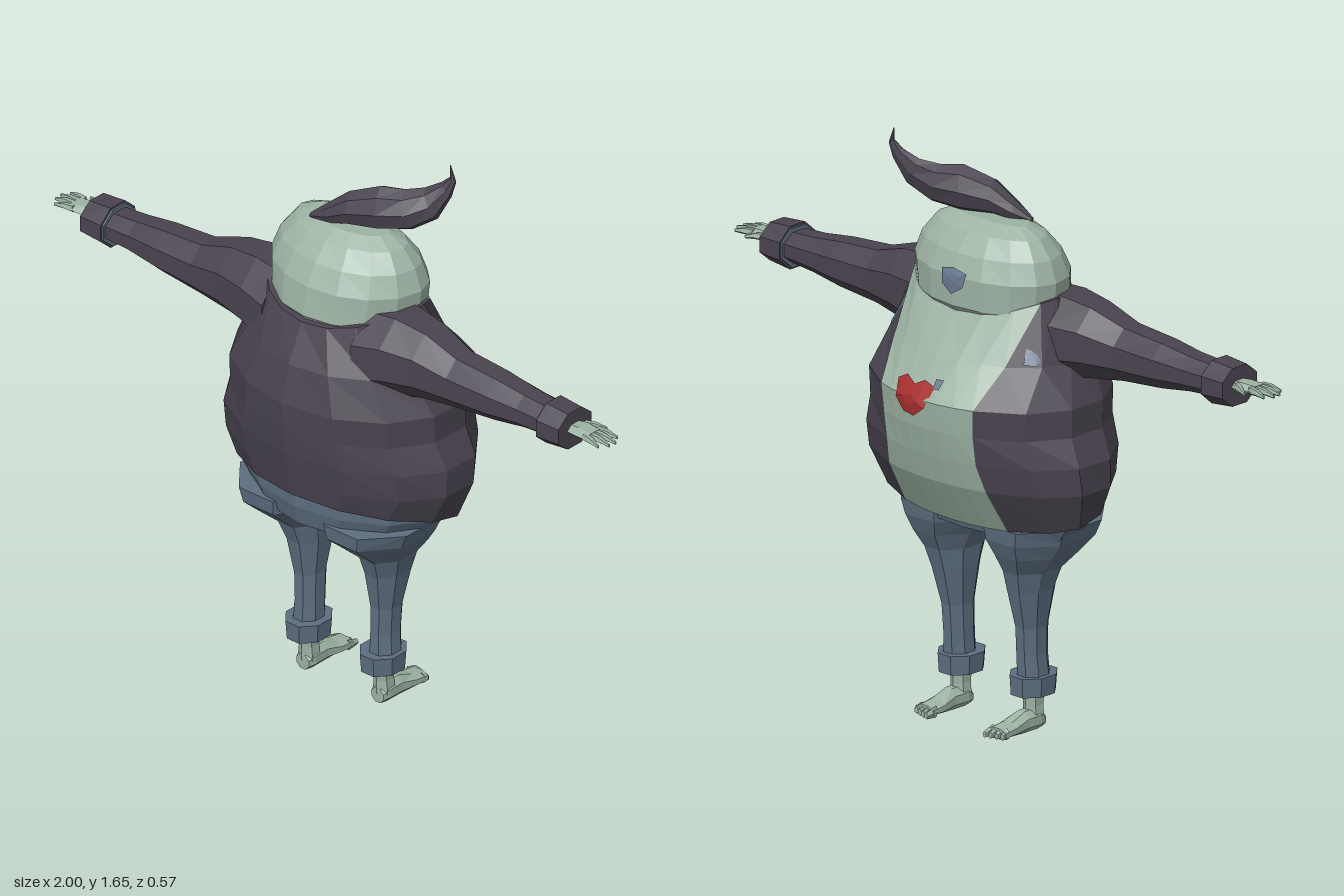
import * as THREE from 'three';

const flat = (name, color) => Object.assign(new THREE.MeshStandardMaterial({ color, flatShading: true }), { name });

// Skin stretched over closed rings of points, capped at both ends.
// slot(column) picks the material group of each column; winding is fixed to face outward.
function loft(rings, slot = () => 0) {
  const n = rings[0].length, pts = rings.flat(), faces = [[], []];
  for (let r = 0; r < rings.length - 1; r++) for (let i = 0; i < n; i++) {
    const a = r * n + i, b = r * n + (i + 1) % n;
    faces[slot(i)].push(a, b, b + n, a, b + n, a + n);
  }
  [0, rings.length - 1].forEach((r, end) => {
    const c = rings[r].reduce((s, p) => s.add(p), new THREE.Vector3()).divideScalar(n);
    const k = pts.push(c) - 1;
    for (let i = 0; i < n; i++) {
      const a = r * n + i, b = r * n + (i + 1) % n;
      faces[slot(i)].push(...(end ? [a, b, k] : [b, a, k]));
    }
  });
  const all = faces.flat();
  let volume = 0;
  for (let i = 0; i < all.length; i += 3)
    volume += pts[all[i]].dot(new THREE.Vector3().crossVectors(pts[all[i + 1]], pts[all[i + 2]]));
  if (volume < 0) for (let i = 0; i < all.length; i += 3) [all[i + 1], all[i + 2]] = [all[i + 2], all[i + 1]];
  const geo = new THREE.BufferGeometry().setFromPoints(pts);
  geo.setIndex(all);
  geo.addGroup(0, faces[0].length, 0);
  geo.addGroup(faces[0].length, faces[1].length, 1);
  geo.computeVertexNormals();
  return geo;
}

// Horizontal body ring: height, half width, back z, front z, side lift, slope along z
function bodyRing([y, rx, zb, zf, lift = 0, slope = 0], angles) {
  return angles.map((a) => {
    const c = Math.cos(a), s = Math.sin(a), z = c > 0 ? zf * c : -zb * c;
    return new THREE.Vector3(rx * s, y + lift * s * s + slope * z, z);
  });
}
const evenAngles = (n) => Array.from({ length: n }, (_, i) => (i / n) * Math.PI * 2);

// Oval ring filling a box range on two axes, at a position along the third
function ovalRing(axis, at, u0, u1, v0, v1, n = 8) {
  return evenAngles(n).map((a) => {
    const t = a + Math.PI / n, k = 1 / Math.cos(Math.PI / n);
    const u = (u0 + u1) / 2 + (u1 - u0) / 2 * k * Math.cos(t);
    const v = (v0 + v1) / 2 + (v1 - v0) / 2 * k * Math.sin(t);
    return axis === 'x' ? new THREE.Vector3(at, u, v)
      : axis === 'y' ? new THREE.Vector3(u, at, v) : new THREE.Vector3(u, v, at);
  });
}
const ovalLoft = (axis, rows, n) => loft(rows.map((r) => ovalRing(axis, ...r, n)));

// y, half width, back z, front z, lift, slope
const torsoRows = [
  [0.625, 0.31, 0.21, -0.10, 0, 0.18],
  [0.637, 0.36, 0.25, -0.155, 0, 0.18],
  [0.74, 0.40, 0.262, -0.23],
  [0.82, 0.40, 0.276, -0.252],
  [0.90, 0.365, 0.285, -0.27],
  [0.98, 0.365, 0.288, -0.278],
  [1.09, 0.31, 0.26, -0.21],
  [1.2, 0.252, 0.208, -0.137, 0.06],
];
const bellyHalfWidths = [0.16, 0.19, 0.18, 0.165, 0.165, 0.17, 0.205, 0.235];
const headRows = [
  [1.17, 0.20, 0.17, -0.11], [1.215, 0.236, 0.2, -0.146], [1.3, 0.246, 0.187, -0.148],
  [1.36, 0.225, 0.155, -0.125], [1.41, 0.185, 0.11, -0.085], [1.435, 0.13, 0.07, -0.035],
];

// Front depth of a body surface at (x, y)
function frontZ(rows, x, y) {
  const i = Math.max(1, rows.findIndex((r) => r[0] >= y));
  const a = rows[i - 1], b = rows[i], t = (y - a[0]) / (b[0] - a[0]);
  const rx = a[1] + (b[1] - a[1]) * t, zf = a[3] + (b[3] - a[3]) * t;
  return zf * Math.sqrt(Math.max(0, 1 - (x / rx) ** 2));
}

// Thin painted blotch laid over the front of a body surface
function blotch(rows, outline) {
  const cx = outline.reduce((s, p) => s + p[0], 0) / outline.length;
  const cy = outline.reduce((s, p) => s + p[1], 0) / outline.length;
  const at = (x, y) => new THREE.Vector3(x, y, frontZ(rows, x, y) - 0.006);
  const n = outline.length, index = [];
  const pts = [at(cx, cy)];
  for (const t of [0.5, 1]) for (const [x, y] of outline) pts.push(at(cx + (x - cx) * t, cy + (y - cy) * t));
  for (let i = 0; i < n; i++) {
    const a = 1 + i, b = 1 + (i + 1) % n;
    index.push(0, a, b, a, a + n, b + n, a, b + n, b);
  }
  const geo = new THREE.BufferGeometry().setFromPoints(pts);
  geo.setIndex(index);
  geo.computeVertexNormals();
  return geo;
}

export function createModel() {
  const model = new THREE.Group();
  const skin = flat('paleGreenSkin', 0x9db3a3);
  const jacket = flat('darkPlumCloth', 0x49434f);
  const denim = flat('slateDenim', 0x5d6e80);
  const red = flat('redMark', 0xa82e2e);
  const bruise = flat('blueGreyMark', 0x69778f);
  red.side = bruise.side = THREE.DoubleSide;
  const add = (name, geo, mat, parent = model) => {
    const m = new THREE.Mesh(geo, mat);
    m.name = name;
    parent.add(m);
    return m;
  };

  // Torso: bare belly columns in front, jacket around the rest
  const torsoRings = torsoRows.map((row, k) => {
    const e = Math.asin(bellyHalfWidths[k] / row[1]);
    const angles = [];
    for (let i = 0; i < 6; i++) angles.push(-e + (2 * e * i) / 6);
    for (let i = 0; i < 12; i++) angles.push(e + ((Math.PI * 2 - 2 * e) * i) / 12);
    return bodyRing(row, angles);
  });
  add('jacketAndBelly', loft(torsoRings, (i) => (i < 6 ? 1 : 0)), [jacket, skin]);
  add('head', loft(headRows.map((r) => bodyRing(r, evenAngles(16)))), skin);

  // Hair quiff: x, y, z, half height, half width
  const hair = [
    [-0.1, 1.432, 0.06, 0.006, 0.008], [-0.05, 1.452, 0.045, 0.03, 0.03], [0.01, 1.482, 0.025, 0.05, 0.042],
    [0.09, 1.497, -0.01, 0.066, 0.05], [0.16, 1.503, -0.045, 0.058, 0.044], [0.215, 1.53, -0.075, 0.046, 0.03],
    [0.252, 1.578, -0.097, 0.024, 0.018], [0.268, 1.61, -0.104, 0.012, 0.01], [0.257, 1.65, -0.106, 0.002, 0.002],
  ];
  add('hairQuiff', loft(hair.map(([x, y, z, h, w], k) => {
    const lean = Math.min(1.15, Math.max(0, (k - 3) * 0.27));
    return evenAngles(8).map((a) => {
      const u = h * Math.sin(a), v = w * Math.cos(a);
      return new THREE.Vector3(x - u * Math.sin(lean) + v * 0.4, y + u * Math.cos(lean), z + v * 0.9);
    });
  })), jacket);

  // Painted marks
  add('bellyMark', blotch(torsoRows, [[-0.04, 1.02], [0.0, 1.03], [0.03, 1.015], [0.07, 1.03], [0.1, 1.015],
    [0.09, 0.97], [0.06, 0.935], [0.02, 0.93], [-0.02, 0.96]]), red);
  add('faceMark', blotch(headRows, [[-0.05, 1.315], [0.0, 1.325], [0.04, 1.315], [0.035, 1.275], [0, 1.25], [-0.04, 1.275]]), bruise);
  add('smallBellyMark', blotch(torsoRows, [[-0.06, 1.04], [-0.035, 1.04], [-0.035, 1.015], [-0.055, 1.015]]), bruise);

  // Hips
  add('hips', loft([[0.7, 0.345, 0.24, -0.16], [0.64, 0.335, 0.238, -0.14], [0.58, 0.29, 0.222, -0.12]]
    .map((r) => bodyRing(r, evenAngles(14)))), denim);

  for (const side of [1, -1]) {
    const half = new THREE.Group();
    half.name = side > 0 ? 'leftLimbs' : 'rightLimbs';
    half.scale.x = side;
    model.add(half);

    // Sleeve and cuff: x, y range, z range
    add('sleeve', ovalLoft('x', [
      [0.16, 1.0, 1.255, -0.06, 0.19], [0.25, 1.03, 1.262, -0.05, 0.175], [0.35, 1.05, 1.25, -0.03, 0.155],
      [0.46, 1.065, 1.215, -0.003, 0.142], [0.6, 1.078, 1.205, 0, 0.137], [0.7, 1.093, 1.192, 0.008, 0.128],
      [0.79, 1.1, 1.186, 0.012, 0.128]]), jacket, half);
    add('sleeveCuff', ovalLoft('x', [[0.785, 1.08, 1.203, 0.0, 0.14], [0.862, 1.088, 1.197, 0.003, 0.137]]), jacket, half);
    add('sleeveLining', ovalLoft('x', [[0.779, 1.086, 1.197, 0.006, 0.134], [0.786, 1.086, 1.197, 0.006, 0.134]]), denim, half);

    // Hand with fingers
    add('palm', ovalLoft('x', [[0.85, 1.128, 1.158, 0.045, 0.095], [0.89, 1.13, 1.162, 0.035, 0.1],
      [0.935, 1.138, 1.16, 0.04, 0.103]], 6), skin, half);
    const fingers = [[0.925, 0.046, 0.985, 0.036], [0.925, 0.063, 1, 0.06], [0.925, 0.08, 0.998, 0.083],
      [0.92, 0.096, 0.98, 0.107], [0.875, 0.045, 0.93, 0.018]];
    for (const [x0, z0, x1, z1] of fingers)
      add('finger', ovalLoft('x', [[x0, 1.139, 1.159, z0 - 0.009, z0 + 0.009], [(x0 + x1) / 2, 1.142, 1.158,
        (z0 + z1) / 2 - 0.008, (z0 + z1) / 2 + 0.008], [x1, 1.141, 1.149, z1 - 0.003, z1 + 0.003]], 5), skin, half);

    // Trouser leg: y, x range, z range
    add('trouserLeg', ovalLoft('y', [
      [0.61, 0.005, 0.3, -0.125, 0.222], [0.565, 0.02, 0.28, -0.118, 0.215], [0.52, 0.055, 0.25, -0.1, 0.165],
      [0.47, 0.08, 0.212, -0.075, 0.108], [0.41, 0.086, 0.195, -0.058, 0.085], [0.3, 0.1, 0.175, -0.03, 0.066],
      [0.22, 0.1, 0.172, -0.025, 0.066], [0.15, 0.098, 0.178, -0.022, 0.07]]), denim, half);
    add('trouserCuff', ovalLoft('y', [[0.105, 0.08, 0.188, -0.037, 0.092], [0.16, 0.076, 0.192, -0.04, 0.096]]), denim, half);

    // Bare foot
    add('ankle', ovalLoft('y', [[0.03, 0.108, 0.162, 0.0, 0.052], [0.07, 0.112, 0.158, 0.0, 0.052],
      [0.12, 0.11, 0.16, -0.002, 0.058]], 6), skin, half);
    add('foot', ovalLoft('z', [[0.052, 0.113, 0.157, 0.002, 0.045], [0.03, 0.106, 0.164, 0, 0.06],
      [-0.02, 0.108, 0.163, 0, 0.06], [-0.07, 0.102, 0.167, 0.003, 0.042], [-0.115, 0.1, 0.169, 0.005, 0.035]], 8), skin, half);
    for (let i = 0; i < 4; i++) {
      const x = 0.109 + i * 0.017;
      add('toe', ovalLoft('z', [[-0.1, x - 0.008, x + 0.008, 0.006, 0.034],
        [-0.136 + i * 0.005, x - 0.006, x + 0.006, 0.008, 0.024]], 5), skin, half);
    }

    // Mark beside the shoulder
    add('shoulderMark', blotch(torsoRows, [[0.215, 1.17], [0.25, 1.165], [0.275, 1.12], [0.27, 1.095], [0.245, 1.1], [0.235, 1.14]]), bruise, half);
  }
  return model;
}
